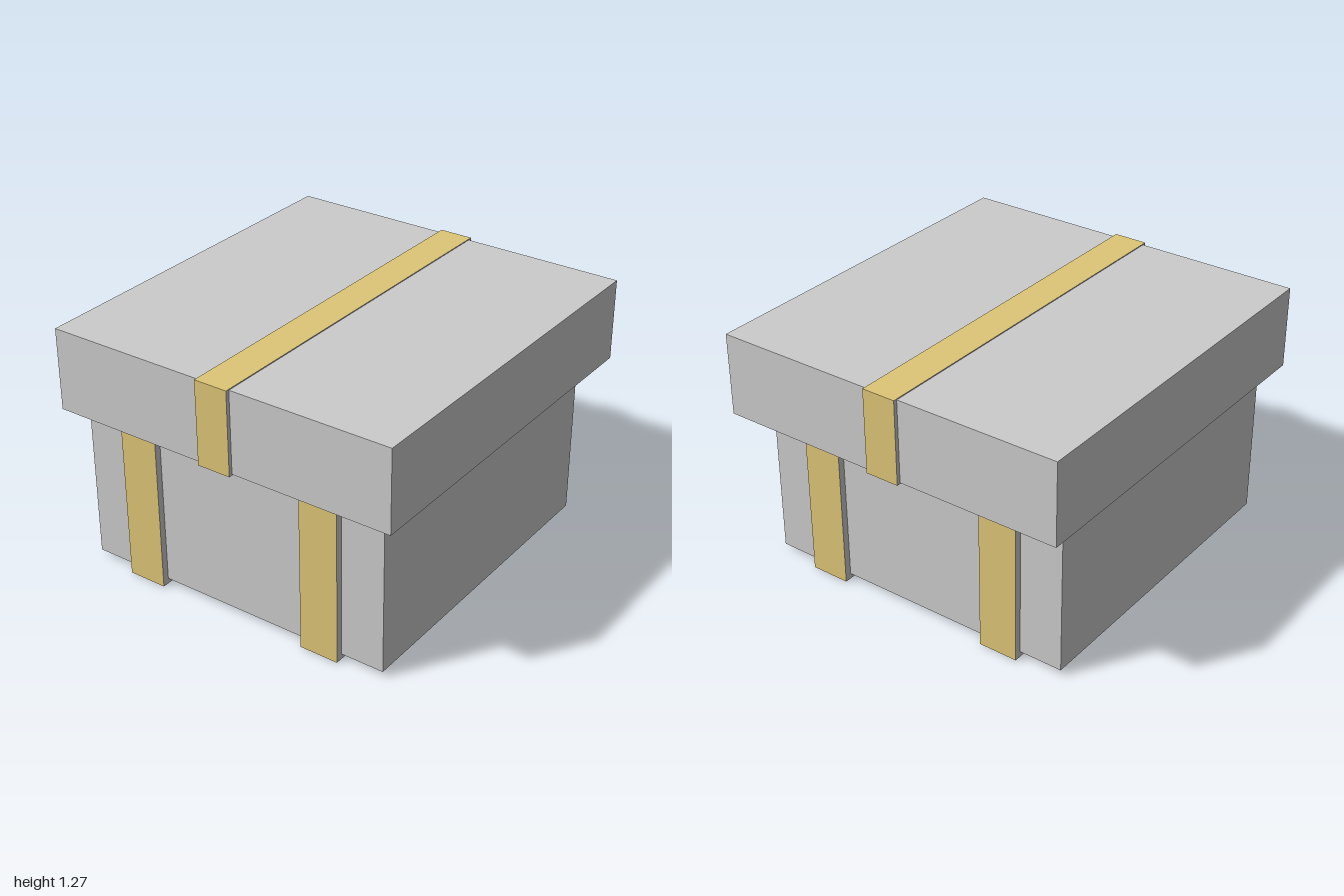
import * as THREE from 'three';

const grey = new THREE.MeshStandardMaterial({ color: 0xcccccc });
const gold = new THREE.MeshStandardMaterial({ color: 0xdec576 });

function rect(path, x0, x1, z0, z1) {
  // plan outline; shape Y is -z so that the extrusion can be turned upright
  path.moveTo(x0, -z0);
  path.lineTo(x1, -z0);
  path.lineTo(x1, -z1);
  path.lineTo(x0, -z1);
  path.closePath();
  return path;
}

// Hollow tray: four walls plus a plate at the bottom or the top
function tray(name, hx, z0, z1, y0, y1, t, plateOnTop) {
  const group = new THREE.Group();
  group.name = name;

  const ring = rect(new THREE.Shape(), -hx, hx, z0, z1);
  ring.holes.push(rect(new THREE.Path(), -hx + t, hx - t, z0 + t, z1 - t));
  const walls = new THREE.Mesh(
    new THREE.ExtrudeGeometry(ring, { depth: y1 - y0, bevelEnabled: false }).rotateX(-Math.PI / 2), grey);
  walls.position.y = y0;
  walls.name = name + 'Walls';

  const plate = new THREE.Mesh(new THREE.BoxGeometry(2 * (hx - t), t, z1 - z0 - 2 * t), grey);
  plate.position.set(0, plateOnTop ? y1 - t / 2 : y0 + t / 2, (z0 + z1) / 2);
  plate.name = name + 'Plate';

  group.add(walls, plate);
  return group;
}

// Band with a [z, y] profile, gold on its faces and grey on its cut edges
function strap(name, profile, x, width) {
  const shape = new THREE.Shape(profile.map(([z, y]) => new THREE.Vector2(-z, y)));
  const geometry = new THREE.ExtrudeGeometry(shape, { depth: width, bevelEnabled: false })
    .translate(0, 0, -width / 2)
    .rotateY(Math.PI / 2);
  const mesh = new THREE.Mesh(geometry, [grey, gold]);
  mesh.position.x = x;
  mesh.name = name;
  return mesh;
}

export function createModel() {
  const model = new THREE.Group();
  model.name = 'giftBox';

  // Box body and overhanging lid
  model.add(tray('box', 0.843, -0.8, 0.89, 0.028, 1.19, 0.07, false));
  model.add(tray('lid', 0.933, -0.98, 0.98, 0.841, 1.265, 0.075, true));

  // Two straps running under the box and up its front and back
  const boxBand = [
    [0.925, 1.19], [0.925, 0], [-0.835, 0], [-0.835, 1.19],
    [-0.8, 1.19], [-0.8, 0.028], [0.89, 0.028], [0.89, 1.19],
  ];
  for (const [name, side] of [['boxStrapLeft', 1], ['boxStrapRight', -1]]) {
    model.add(strap(name, boxBand, side * 0.514, 0.205));
  }

  // Single strap over the lid, tucked under its front and back rims
  const lidBand = [
    [0.91, 0.836], [1, 0.836], [1, 1.27], [-1, 1.27], [-1, 0.836], [-0.91, 0.836],
    [-0.91, 0.841], [-0.98, 0.841], [-0.98, 1.265], [0.98, 1.265], [0.98, 0.841], [0.91, 0.841],
  ];
  model.add(strap('lidStrap', lidBand, 0, 0.177));

  return model;
}
